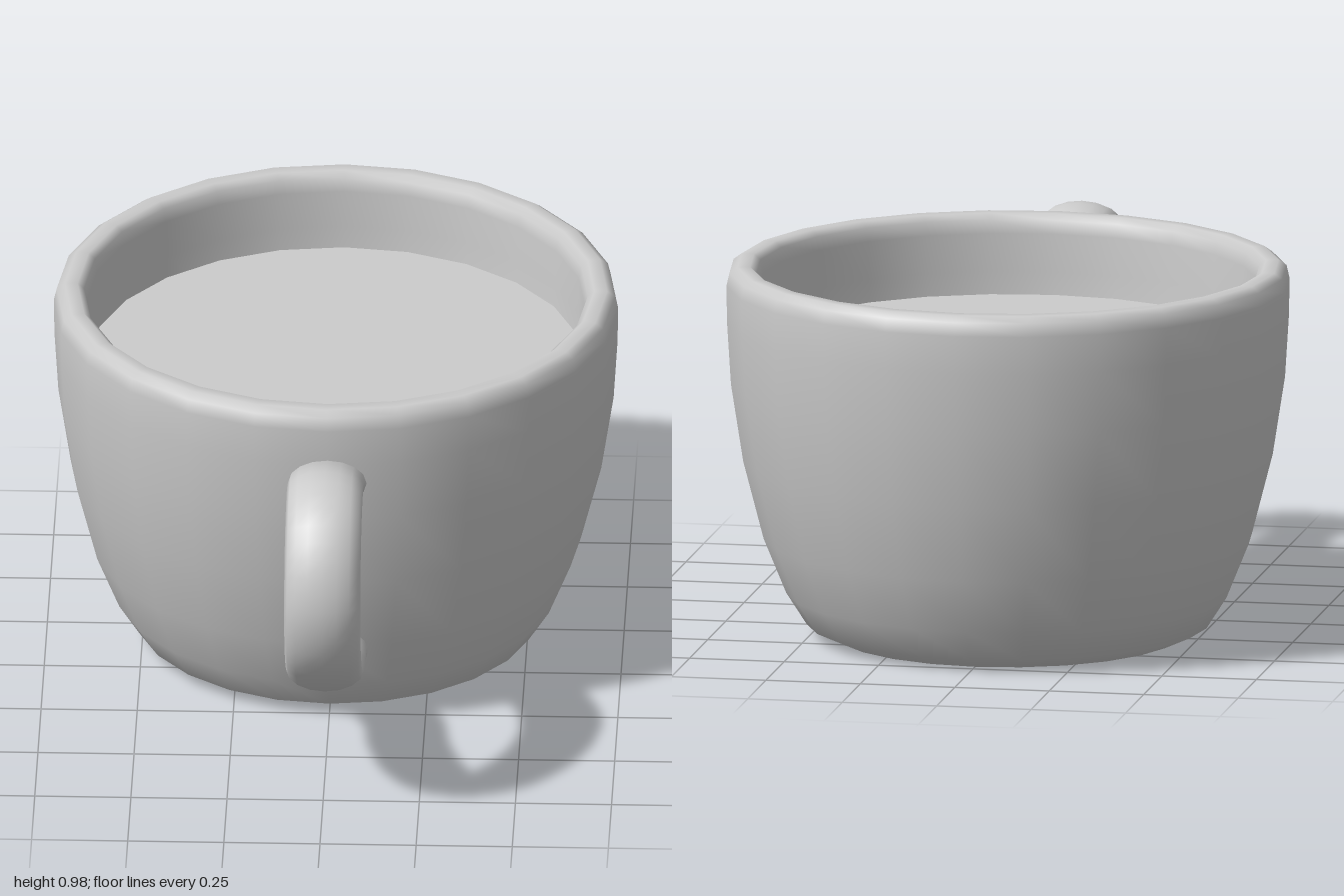
import * as THREE from 'three';

const SIDES = 24;
const CUP_Z = -0.267;

export function createModel() {
  const group = new THREE.Group();
  const grey = new THREE.MeshStandardMaterial({ color: 0xcccccc });

  const add = (name, geometry, z = 0) => {
    const mesh = new THREE.Mesh(geometry, grey);
    mesh.name = name;
    mesh.position.z = z;
    group.add(mesh);
    return mesh;
  };

  // Cup wall: up the outside, over the rounded rim, down the inside to the floor
  const profile = [
    [0.455, 0], [0.525, 0.032], [0.578, 0.115], [0.637, 0.26], [0.69, 0.465],
    [0.722, 0.67], [0.732, 0.83], [0.734, 0.93], [0.726, 0.965], [0.705, 0.98],
    [0.672, 0.98], [0.655, 0.965], [0.648, 0.93], [0.646, 0.83], [0.636, 0.67],
    [0.605, 0.465], [0.555, 0.26], [0.49, 0.115], [0.44, 0.07], [0, 0.07],
  ].map(([r, y]) => new THREE.Vector2(r, y));
  add('cupWall', new THREE.LatheGeometry(profile, SIDES), CUP_Z);

  // Flat underside, separate so its edge stays sharp
  const base = new THREE.CircleGeometry(0.455, SIDES);
  base.rotateX(Math.PI / 2);
  add('cupBase', base, CUP_Z);

  // Drink surface
  const drink = new THREE.CircleGeometry(0.643, SIDES);
  drink.rotateX(-Math.PI / 2);
  drink.translate(0, 0.77, 0);
  add('drink', drink, CUP_Z);

  // Handle: a tube along a loop in the z-y plane, widened across x
  const path = new THREE.CatmullRomCurve3([
    [0.41, 0.75], [0.47, 0.785], [0.6, 0.853], [0.735, 0.892], [0.85, 0.855],
    [0.92, 0.77], [0.949, 0.65], [0.918, 0.53], [0.83, 0.43], [0.71, 0.357],
    [0.56, 0.305], [0.44, 0.285], [0.35, 0.235], [0.31, 0.205],
  ].map(([z, y]) => new THREE.Vector3(0, y, z)));
  const handle = new THREE.TubeGeometry(path, 40, 0.053, 16, false);
  handle.scale(1.87, 1, 1);
  handle.translate(0.004, 0, 0);
  add('handle', handle);

  return group;
}
